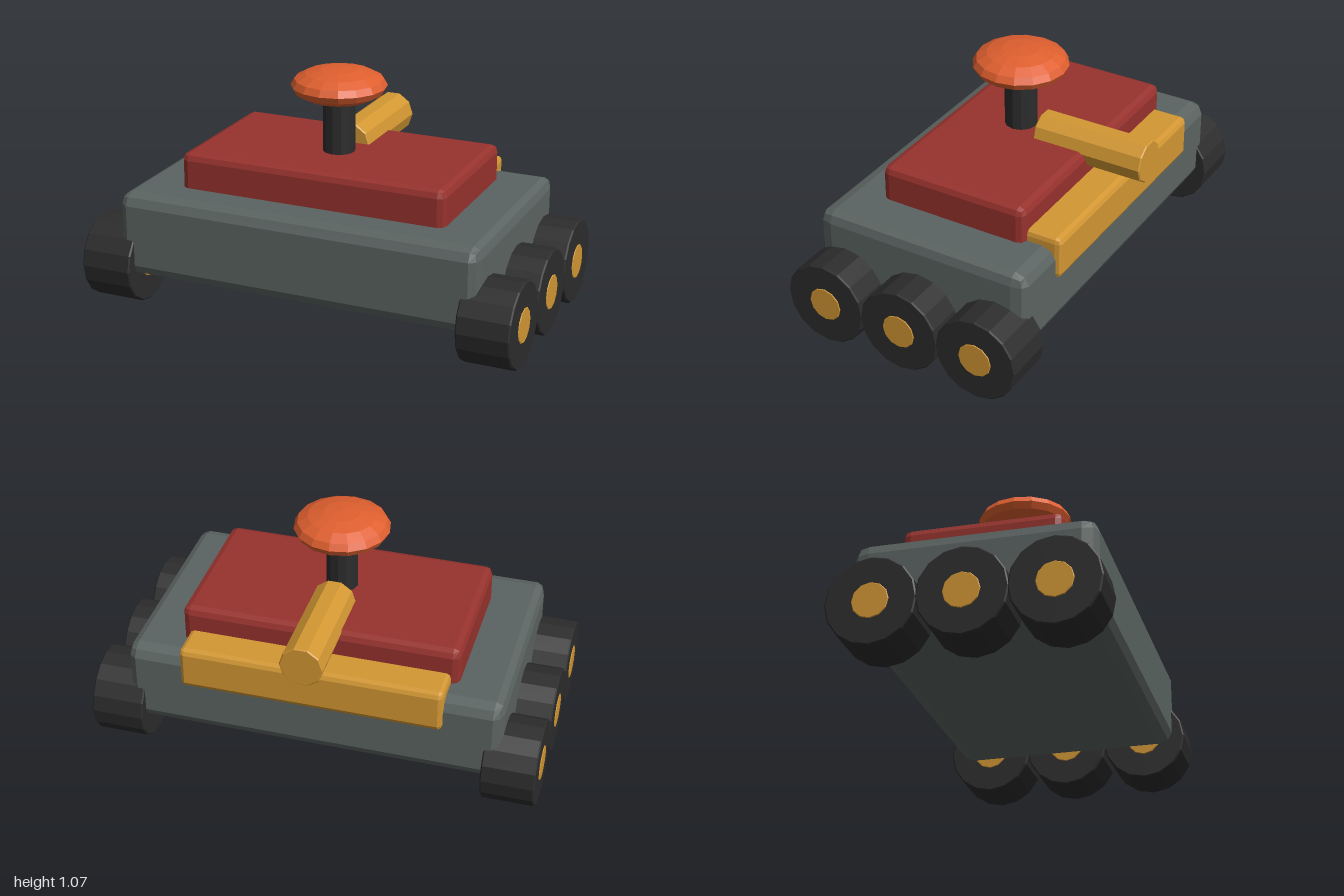
import * as THREE from 'three';
import { RoundedBoxGeometry } from 'three/addons/geometries/RoundedBoxGeometry.js';

const material = (name, color) => {
  const m = new THREE.MeshStandardMaterial({ color, flatShading: true });
  m.name = name;
  return m;
};

// Box given by its limits, with a two-step bevel whose size may differ per axis
function bevelBox([x0, x1], [y0, y1], [z0, z1], [bx, by, bz]) {
  const g = new RoundedBoxGeometry((x1 - x0) / bx, (y1 - y0) / by, (z1 - z0) / bz, 1, 1);
  g.scale(bx, by, bz);
  g.translate((x0 + x1) / 2, (y0 + y1) / 2, (z0 + z1) / 2);
  return g;
}

// Solid disc along x with a small bevel on both rims
function axleDisc(radius, width, bevel, sides) {
  const h = width / 2;
  const profile = [
    [0, -h], [radius - bevel, -h], [radius, -h + bevel],
    [radius, h - bevel], [radius - bevel, h], [0, h],
  ].map(([x, y]) => new THREE.Vector2(x, y));
  return new THREE.LatheGeometry(profile, sides).rotateZ(Math.PI / 2);
}

export function createModel() {
  const grey = material('hull grey', 0x5b6462);
  const red = material('deck red', 0x97322d);
  const gold = material('ochre', 0xd39733);
  const orange = material('orange', 0xdf5f2f);
  const black = material('rubber black', 0x2c2c2c);

  const model = new THREE.Group();
  model.name = 'sixWheeledRover';
  const add = (name, geometry, mat, parent = model) => {
    const mesh = new THREE.Mesh(geometry, mat);
    mesh.name = name;
    parent.add(mesh);
    return mesh;
  };

  // Hull, raised deck and rear bumper
  add('hull', bevelBox([-0.835, 0.835], [0.16, 0.54], [-0.475, 0.545], [0.04, 0.052, 0.065]), grey);
  add('deck', bevelBox([-0.618, 0.618], [0.42, 0.70], [-0.34, 0.357], [0.033, 0.033, 0.035]), red);
  add('rearBumper', bevelBox([-0.583, 0.583], [0.395, 0.59], [-0.498, -0.3], [0.02, 0.025, 0.028]), gold);

  // Rear pipe, half sunk into the deck
  const pipe = axleDisc(0.096, 0.52, 0.005, 10).rotateY(Math.PI / 2);
  add('rearPipe', pipe, gold).position.set(0, 0.693, -0.34);

  // Mast with flattened cap
  add('mast', new THREE.CylinderGeometry(0.072, 0.072, 0.36, 12), black).position.set(0, 0.79, 0.035);
  const cap = new THREE.SphereGeometry(1, 16, 8).scale(0.212, 0.077, 0.212);
  add('mastCap', cap, orange).position.set(0, 1.0, 0.035);

  // Three wheels on each side, each with a hub showing on both faces
  const tyre = axleDisc(0.191, 0.235, 0.006, 16);
  const hub = axleDisc(0.078, 0.241, 0.003, 12);
  for (const side of [1, -1]) {
    for (const [place, z] of [['front', 0.409], ['middle', 0.036], ['rear', -0.337]]) {
      const wheel = new THREE.Group();
      wheel.name = `${place}${side > 0 ? 'Left' : 'Right'}Wheel`;
      wheel.position.set(side * 0.8795, 0.195, z);
      add('tyre', tyre, black, wheel);
      add('hub', hub, gold, wheel);
      model.add(wheel);
    }
  }
  return model;
}
